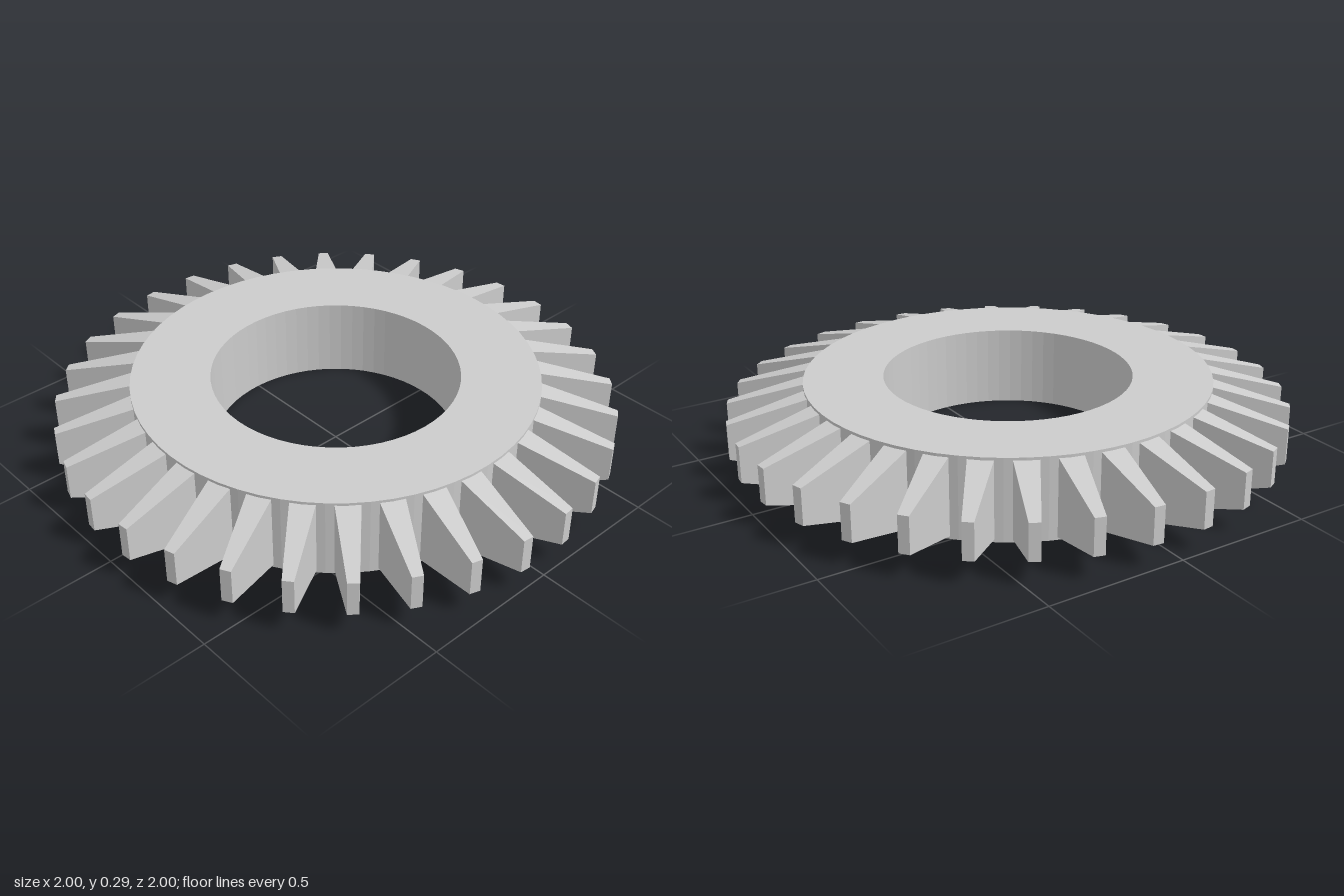
import * as THREE from 'three';

const TEETH = 32;
const HEIGHT = 0.295;
const material = new THREE.MeshStandardMaterial({ color: 0xcccccc, flatShading: true });

// Flat ring with a round bore, turned from a closed rectangular profile
function createRing(inner, outer) {
  const profile = [[outer, 0], [outer, HEIGHT], [inner, HEIGHT], [inner, 0], [outer, 0]]
    .map(([r, y]) => new THREE.Vector2(r, y));
  const geometry = new THREE.LatheGeometry(profile, TEETH * 2).toNonIndexed();
  geometry.computeVertexNormals();
  const ring = new THREE.Mesh(geometry, material);
  ring.name = 'ring';
  return ring;
}

// Tooth pointing along +x, tapering in width and height towards its tip
function createToothGeometry() {
  const root = { r: 0.72, width: 0.086, height: 0.28 };
  const tip = { r: 1.002, width: 0.038, height: 0.13 };
  const geometry = new THREE.BoxGeometry(1, 1, 1).toNonIndexed();
  const p = geometry.attributes.position;
  for (let i = 0; i < p.count; i++) {
    const end = p.getX(i) > 0 ? tip : root;
    p.setXYZ(i, end.r, HEIGHT / 2 + p.getY(i) * end.height, p.getZ(i) * end.width);
  }
  geometry.computeVertexNormals();
  return geometry;
}

export function createModel() {
  const gear = new THREE.Group();
  gear.name = 'gear';
  gear.add(createRing(0.446, 0.73));

  // Teeth around the rim, half a pitch off the axes
  const teeth = new THREE.Group();
  teeth.name = 'teeth';
  const toothGeometry = createToothGeometry();
  for (let i = 0; i < TEETH; i++) {
    const tooth = new THREE.Mesh(toothGeometry, material);
    tooth.name = 'tooth';
    tooth.rotation.y = ((i + 0.5) / TEETH) * Math.PI * 2;
    teeth.add(tooth);
  }
  gear.add(teeth);
  return gear;
}
